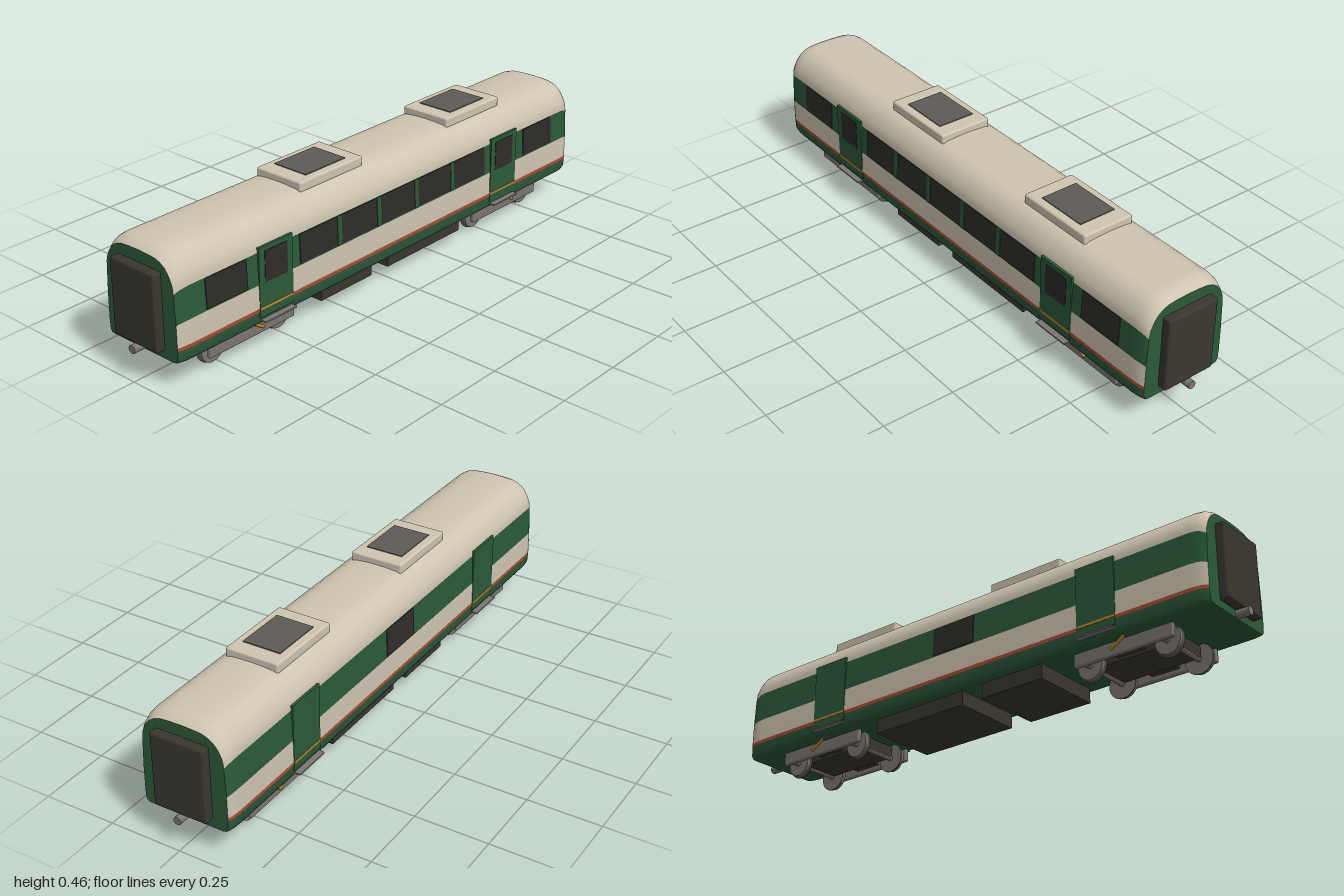
import * as THREE from 'three';
import { RoundedBoxGeometry } from 'three/addons/geometries/RoundedBoxGeometry.js';

const paint = (name, color) => {
  const m = new THREE.MeshStandardMaterial({ color });
  m.name = name;
  return m;
};

export function createModel() {
  const model = new THREE.Group();
  model.name = 'railCoach';

  const green = paint('coach green', 0x2b5a3a);
  const cream = paint('cream', 0xcfc5b1);
  const red = paint('red stripe', 0xb04a33);
  const glass = paint('window glass', 0x2f2c28);
  const black = paint('rubber black', 0x3a372f);
  const steel = paint('steel', 0x7b7670);
  const grille = paint('grille grey', 0x5f5b56);
  const gold = paint('ochre', 0xc28a28);

  const add = (name, geo, mat, x = 0, y = 0, z = 0, parent = model) => {
    const mesh = new THREE.Mesh(geo, mat);
    mesh.name = name;
    mesh.position.set(x, y, z);
    parent.add(mesh);
    return mesh;
  };
  const box = (name, w, h, d, mat, x, y, z, parent) =>
    add(name, new THREE.BoxGeometry(w, h, d), mat, x, y, z, parent);
  const rounded = (name, w, h, d, r, mat, x, y, z, parent) =>
    add(name, new RoundedBoxGeometry(w, h, d, 2, r), mat, x, y, z, parent);

  // Body shell: half profile from floor centre to roof centre, mirrored
  const half = [
    [0, 0.095], [0.138, 0.095], [0.151, 0.098], [0.157, 0.108], [0.159, 0.14],
    [0.159, 0.152], [0.158, 0.23], [0.1535, 0.335], [0.152, 0.352], [0.149, 0.366],
    [0.142, 0.382], [0.132, 0.399], [0.119, 0.414], [0.101, 0.426], [0.077, 0.434],
    [0.04, 0.437], [0, 0.438],
  ];
  const halfBands = half.slice(1).map((_, i) =>
    i < 4 ? 0 : i === 4 ? 2 : i === 5 ? 1 : i === 6 ? 0 : 1);
  const profile = [...half, ...half.slice(1, -1).reverse().map(([x, y]) => [-x, y])];
  const bands = [...halfBands, ...halfBands.slice().reverse()];

  // Sections along the length; the ends draw in slightly
  const rings = [[0.955, 0.935], [0.942, 0.968], [0.925, 0.99], [0.9, 1],
    [-0.9, 1], [-0.925, 0.99], [-0.942, 0.968], [-0.955, 0.935]];
  const place = ([x, y], s) => [x * s, 0.096 + (y - 0.096) * s];
  const pos = [];
  const index = [];
  const shell = new THREE.BufferGeometry();
  for (const [z, s] of rings) for (const p of profile) pos.push(...place(p, s), z);
  const n = profile.length;
  for (let j = 0; j < n; j++) {
    const start = index.length;
    const k = (j + 1) % n;
    for (let i = 0; i < rings.length - 1; i++) {
      const a = i * n + j, b = i * n + k, c = a + n, d = b + n;
      index.push(a, c, b, b, c, d);
    }
    shell.addGroup(start, index.length - start, bands[j]);
  }
  shell.setAttribute('position', new THREE.Float32BufferAttribute(pos, 3));
  shell.setIndex(index);
  shell.computeVertexNormals();
  add('bodyShell', shell, [green, cream, red]);

  // End walls, gangways and couplers
  const endShape = new THREE.Shape(profile.map((p) => new THREE.Vector2(...place(p, 0.935))));
  for (const s of [1, -1]) {
    const end = new THREE.Group();
    end.name = s > 0 ? 'frontEnd' : 'rearEnd';
    end.rotation.y = s > 0 ? 0 : Math.PI;
    model.add(end);
    add('endWall', new THREE.ShapeGeometry(endShape), green, 0, 0, 0.955, end);
    rounded('gangway', 0.188, 0.255, 0.05, 0.008, black, 0, 0.248, 0.96, end);
    const coupler = add('coupler', new THREE.CylinderGeometry(0.014, 0.014, 0.06, 20), steel,
      0, 0.109, 0.97, end);
    coupler.rotation.x = Math.PI / 2;
  }

  // Thin plate lying on the sloping window band
  const bandPlate = (name, side, z, width, thick, height, mat) => {
    const plate = box(name, thick, height, width, mat, side * 0.1558, 0.284, z);
    plate.rotation.z = side * 0.043;
  };
  for (const z of [0.7625, -0.7625]) bandPlate('endWindow', 1, z, 0.165, 0.005, 0.098, glass);
  for (let i = -2; i <= 2; i++) bandPlate('saloonWindow', 1, i * 0.186, 0.168, 0.005, 0.098, glass);
  for (let i = -1.5; i <= 1.5; i++) bandPlate('windowPillar', 1, i * 0.186, 0.018, 0.009, 0.1, green);
  bandPlate('smallWindow', -1, -0.005, 0.17, 0.005, 0.098, glass);

  // Doors and steps
  for (const side of [1, -1]) {
    for (const z of [0.562, -0.562]) {
      box('door', 0.016, 0.232, 0.143, green, side * 0.1525, 0.236, z);
      box('doorStripe', 0.003, 0.008, 0.143, gold, side * 0.1605, 0.15, z);
      box('doorStep', 0.05, 0.005, 0.135, steel, side * 0.153, 0.11, z);
      if (side > 0) box('doorWindow', 0.003, 0.104, 0.095, glass, 0.1605, 0.284, z);
    }
  }

  // Roof units
  for (const z of [0.242, -0.467]) {
    rounded('roofUnit', 0.188, 0.036, 0.285, 0.007, cream, 0, 0.443, z);
    box('roofGrille', 0.134, 0.008, 0.18, grille, 0, 0.46, z);
  }

  // Underfloor equipment
  box('equipmentBoxFront', 0.25, 0.055, 0.24, black, 0, 0.0725, 0.21);
  box('equipmentBoxRear', 0.25, 0.055, 0.375, black, 0, 0.0725, -0.178);

  // Bogies
  const wheelProfile = [[0.001, 0], [0.05, 0], [0.05, 0.004], [0.046, 0.006], [0.045, 0.018], [0.001, 0.018]];
  const wheelGeo = new THREE.LatheGeometry(wheelProfile.map((p) => new THREE.Vector2(...p)), 28).toNonIndexed();
  wheelGeo.computeVertexNormals();
  for (const bz of [0.63, -0.63]) {
    const bogie = new THREE.Group();
    bogie.name = bz > 0 ? 'frontBogie' : 'rearBogie';
    bogie.position.z = bz;
    model.add(bogie);
    box('bogieFrame', 0.14, 0.04, 0.3, black, 0, 0.068, 0, bogie);
    box('bolster', 0.22, 0.04, 0.1, black, 0, 0.078, 0, bogie);
    for (const z of [0.14, -0.14]) {
      const axle = add('axle', new THREE.CylinderGeometry(0.01, 0.01, 0.23, 14), steel, 0, 0.05, z, bogie);
      axle.rotation.z = Math.PI / 2;
      for (const side of [1, -1]) {
        const wheel = add('wheel', wheelGeo, steel, side * 0.075, 0.05, z, bogie);
        wheel.rotation.z = -side * Math.PI / 2;
      }
    }
    for (const side of [1, -1]) {
      rounded('sideFrame', 0.016, 0.047, 0.36, 0.006, steel, side * 0.117, 0.065, 0, bogie);
      const damper = add('damper', new THREE.CylinderGeometry(0.005, 0.005, 0.06, 10), gold,
        side * 0.128, 0.078, -0.014, bogie);
      damper.rotation.x = 1.02;
    }
  }

  return model;
}
